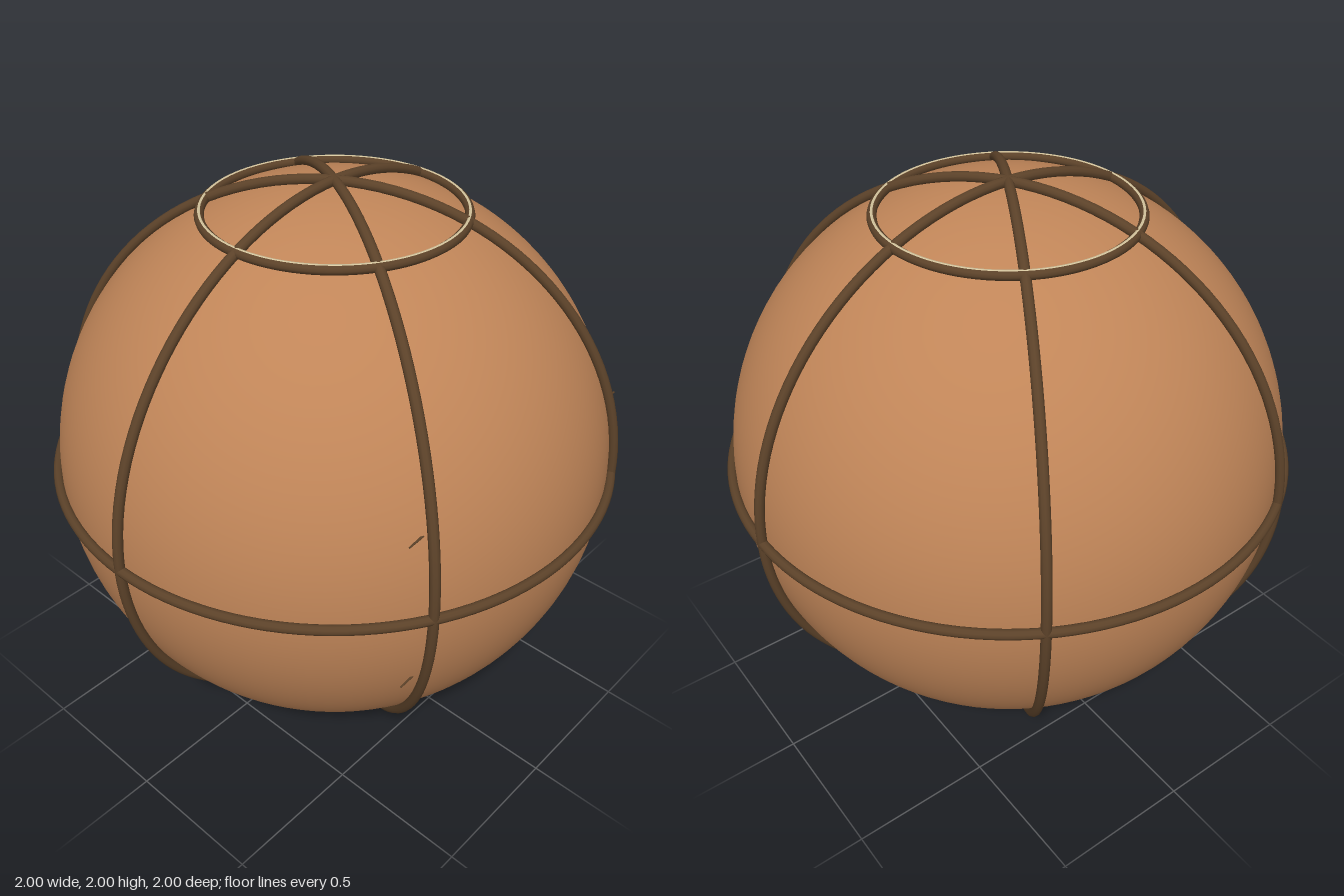
import * as THREE from 'three';

export function createModel() {
  const leather = new THREE.MeshStandardMaterial({ color: 0xc08558 });
  leather.name = 'tan leather';
  const dark = new THREE.MeshStandardMaterial({ color: 0x5c4229 });
  dark.name = 'dark brown cord';
  const cream = new THREE.MeshStandardMaterial({ color: 0xd8c8a0 });
  cream.name = 'cream thread';

  const R = 0.97, SEAM = 0.983, TUBE = 0.017;
  const model = new THREE.Group();
  model.name = 'seamedBall';
  const body = new THREE.Group();
  body.name = 'ball';
  body.position.y = 1;
  model.add(body);

  const add = (name, geometry, material, parent = body) => {
    const mesh = new THREE.Mesh(geometry, material);
    mesh.name = name;
    parent.add(mesh);
    return mesh;
  };

  add('leatherSphere', new THREE.SphereGeometry(R, 96, 64), leather);

  // Three upright seams, 60 degrees apart, and one around the middle
  const seam = new THREE.TorusGeometry(SEAM, TUBE, 10, 128);
  for (let i = 0; i < 3; i++) add('uprightSeam' + (i + 1), seam, dark).rotation.y = i * Math.PI / 3;
  add('middleSeam', seam, dark).rotation.x = Math.PI / 2;

  // Small ring near the top, with a thin pale thread along its crest
  const ring = add('topRing', new THREE.TorusGeometry(0.43, 0.016, 10, 96), dark);
  ring.rotation.x = Math.PI / 2;
  ring.position.y = 0.885;
  const thread = add('topThread', new THREE.TorusGeometry(0.43, 0.007, 6, 96), cream);
  thread.rotation.x = Math.PI / 2;
  thread.position.y = 0.8955;

  // Short stitch ends poking out beside the front seams
  const stitches = new THREE.Group();
  stitches.name = 'stitches';
  body.add(stitches);
  const stitch = (x, y, z, side) => {
    const geometry = new THREE.CylinderGeometry(0.003, 0.005, 0.08, 6);
    geometry.rotateZ(-side * Math.PI / 2);
    const mesh = add('stitch', geometry, dark, stitches);
    mesh.position.set(side * x, y, z);
    mesh.rotation.z = 0.1;
  };
  for (const side of [-1, 1]) {
    stitch(0.505, 0.277, 0.788, side);
    stitch(0.505, -0.293, 0.782, side);
  }
  stitch(0.535, 0.138, 0.802, 1);
  stitch(0.535, -0.148, 0.8, 1);

  return model;
}
